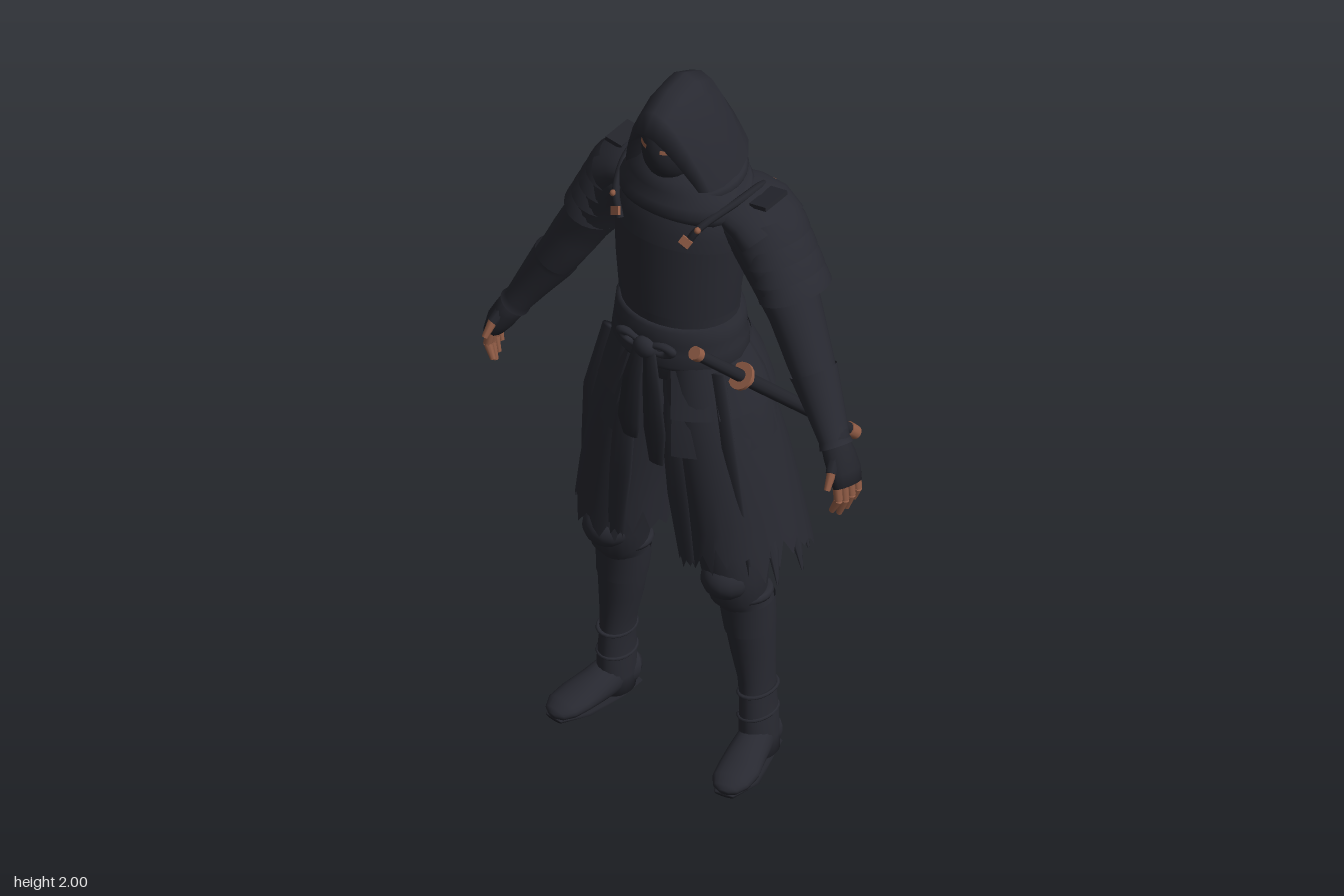
import * as THREE from 'three';

const V = (x, y, z) => new THREE.Vector3(x, y, z);
const cloth = new THREE.MeshStandardMaterial({ color: 0x282931, side: THREE.DoubleSide });
const darkCloth = new THREE.MeshStandardMaterial({ color: 0x23242b, side: THREE.DoubleSide });
const skin = new THREE.MeshStandardMaterial({ color: 0x8f5b45, side: THREE.DoubleSide });

const noise = (j) => { const v = Math.sin(j * 12.9898 + 4.1) * 43758.5453; return v - Math.floor(v); };

// Skin over elliptical cross-sections [x, y, z, halfWidth, halfDepth]; may be a partial arc or ragged at its end
function loft(rows, { n = 24, t0 = 0, t1 = Math.PI * 2, ref = V(0, 0, 1), cap = true, rag = null } = {}) {
  const full = t1 - t0 > 6.28, cols = full ? n : n + 1, pos = [], idx = [];
  const c = rows.map((r) => V(r[0], r[1], r[2]));
  rows.forEach((r, i) => {
    const t = c[Math.min(i + 1, c.length - 1)].clone().sub(c[Math.max(i - 1, 0)]).normalize();
    const u = t.clone().cross(ref).normalize(), v = u.clone().cross(t);
    for (let j = 0; j < cols; j++) {
      const th = t0 + ((t1 - t0) * j) / n;
      const p = c[i].clone().addScaledVector(u, r[3] * Math.cos(th)).addScaledVector(v, r[4] * Math.sin(th));
      if (rag && i === rows.length - 1) p.addScaledVector(t, rag(j, th));
      pos.push(p.x, p.y, p.z);
    }
  });
  for (let i = 0; i < rows.length - 1; i++) for (let j = 0; j < n; j++) {
    const k = full ? (j + 1) % n : j + 1, a = i * cols;
    idx.push(a + j, a + cols + j, a + k, a + k, a + cols + j, a + cols + k);
  }
  if (cap && full) {
    const s = pos.length / 3, l = (rows.length - 1) * n;
    pos.push(...c[0].toArray(), ...c[c.length - 1].toArray());
    for (let j = 0; j < n; j++) idx.push(s, j, (j + 1) % n, s + 1, l + ((j + 1) % n), l + j);
  }
  return finish(pos, idx);
}

function finish(pos, idx) {
  const g = new THREE.BufferGeometry();
  g.setAttribute('position', new THREE.Float32BufferAttribute(pos, 3));
  g.setIndex(idx);
  g.computeVertexNormals();
  return g;
}

// Hood: arches running from the face opening to the back, each [zTop, yTop, zBottom, yBottom, halfWidth]
function hoodGeometry() {
  const arches = [[.165, 1.885, .115, 1.745, .088], [.222, 1.91, .145, 1.735, .112], [.18, 1.953, .12, 1.73, .13], [.12, 1.987, .08, 1.728, .14],
    [.05, 2, .02, 1.735, .143], [-.015, 1.968, -.035, 1.75, .13], [-.055, 1.895, -.07, 1.768, .105], [-.085, 1.8, -.09, 1.778, .065]];
  const half = [[1, 0], [.93, .14], [.79, .36], [.64, .58], [.44, .8], [.25, .94], [0, 1]];
  const prof = [...half.map(([x, h]) => [-x, h]), ...half.slice(0, -1).reverse()];
  const pos = [], idx = [], m = prof.length;
  for (const [zt, yt, zb, yb, w] of arches)
    for (const [x, h] of prof) pos.push(x * w, yb + (yt - yb) * h, zb + (zt - zb) * h);
  for (let i = 0; i < arches.length - 1; i++) for (let j = 0; j < m - 1; j++) {
    const a = i * m + j, b = a + m;
    idx.push(a, a + 1, b, a + 1, b + 1, b);
  }
  return finish(pos, idx);
}

export function createModel() {
  const root = new THREE.Group();
  const add = (name, geo, mat = cloth, p = [0, 0, 0], r = [0, 0, 0], sc = [1, 1, 1]) => {
    const m = new THREE.Mesh(geo, mat);
    m.name = name;
    m.position.set(...p); m.rotation.set(...r); m.scale.set(...sc);
    root.add(m);
    return m;
  };
  const rod = (name, a, b, r0, r1, mat, sides = 12) => {
    const d = b.clone().sub(a);
    const m = add(name, new THREE.CylinderGeometry(r1, r0, d.length(), sides), mat, a.clone().add(b).multiplyScalar(.5).toArray());
    m.quaternion.setFromUnitVectors(V(0, 1, 0), d.normalize());
  };

  // Head, mask and hood
  add('hood', hoodGeometry());
  add('maskedHead', new THREE.SphereGeometry(1, 24, 16), darkCloth, [0, 1.815, .08], [0, 0, 0], [.08, .105, .108]);
  for (const s of [1, -1])
    add('eyeSkin', new THREE.SphereGeometry(1, 8, 3, Math.PI / 2 - s * .48 - .22, .44, 1.27, .1), skin, [0, 1.815, .08], [0, 0, 0], [.083, .108, .111]);
  add('neck', loft([[0, 1.62, .04, .1, .09], [0, 1.79, .05, .085, .09]]), darkCloth);

  // Wrapped cowl
  add('cowl', loft([[0, 1.61, .05, .172, .14], [0, 1.64, .042, .184, .154], [0, 1.672, .04, .178, .15], [0, 1.69, .036, .162, .142],
    [0, 1.715, .034, .15, .146], [0, 1.745, .034, .126, .134], [0, 1.77, .034, .1, .11], [0, 1.772, .034, .08, .09]], { n: 32 }));
  [[1.675, .15, .115, .22], [1.715, .13, .118, .12]].forEach(([y, rx, rz, tilt]) =>
    add('cowlFold', new THREE.TorusGeometry(1, .19, 10, 32), cloth, [0, y, .038], [Math.PI / 2 + tilt, 0, 0], [rx, rz, .12]));

  // Torso and sash
  add('torso', loft([[0, 1.16, .065, .165, .13], [0, 1.3, .07, .155, .13], [0, 1.4, .07, .163, .132], [0, 1.5, .062, .176, .14],
    [0, 1.58, .05, .185, .143], [0, 1.64, .04, .18, .135], [0, 1.69, .035, .13, .11]], { n: 32 }));
  add('chestWrap', loft([[0, 1.35, .07, .162, .136], [0, 1.45, .067, .174, .14], [0, 1.55, .056, .184, .145]],
    { n: 24, t0: -.2, t1: Math.PI + .2 }));
  add('sash', loft([[0, 1.2, .068, .172, .142], [0, 1.215, .068, .183, .15], [0, 1.25, .068, .178, .147], [0, 1.265, .068, .175, .143],
    [0, 1.28, .068, .174, .147], [0, 1.315, .068, .17, .143], [0, 1.325, .068, .156, .132]], { n: 32 }));
  add('sashKnot', new THREE.SphereGeometry(1, 14, 10), cloth, [0, 1.255, .218], [0, 0, 0], [.033, .03, .022]);
  for (const s of [1, -1]) {
    add('sashLoop', new THREE.TorusGeometry(.024, .014, 8, 16), cloth, [s * .045, 1.26, .21], [.2, 0, s * .25], [1.3, .6, .8]);
    // Hanging sash ends
    add('sashEnd', loft([[s * .015, 1.25, .218, .018, .01], [s * .03, 1.15, .23, .028, .008], [s * .04, 1.02, .23, .034, .008],
      [s * .04, s > 0 ? .92 : .97, .224, .022, .006]], { n: 10 }), darkCloth);
  }

  // Hanging hip plates, upper over lower: front, side and back on each half
  const leftPlates = [[.72, 1.2], [-.3, .64], [-1.47, -.36]];
  const plates = [...leftPlates, ...leftPlates.map(([a, b]) => [Math.PI - b, Math.PI - a])];
  for (const [t0, t1] of plates) {
    // The loft runs downward, so the arc is turned to match
    const arc = { n: 12, t0: Math.PI - t1, t1: Math.PI - t0 };
    add('lowerHipPlate', loft([[0, 1.13, .05, .205, .165], [0, 1.05, .048, .232, .186], [0, .97, .046, .248, .197]], arc));
    add('upperHipPlate', loft([[0, 1.22, .06, .18, .15], [0, 1.15, .05, .212, .174], [0, 1.08, .048, .236, .192]], arc));
  }
  // Long tattered strips in front
  for (const [x, w, y1] of [[.075, .034, .68], [.145, .038, .74], [.205, .03, .66]]) for (const s of [1, -1])
    add('tatteredStrip', loft([[s * x * .8, 1.2, .19 - x * .25, w * .8, .012], [s * x, 1, .228 - x * .35, w, .01],
      [s * (x + .015), .82, .23 - x * .42, w, .008], [s * (x + .03), y1, .23 - x * .5, w * .7, .004]], { n: 12, rag: (j) => noise(j + x * 90) * .08 }));

  for (const s of [1, -1]) {
    const side = s > 0 ? 'left' : 'right';
    const S = (rows) => rows.map(([x, ...r]) => [s * x, ...r]);

    // Wide ragged trousers and the leg under them
    add(side + 'Trouser', loft(S([[.075, 1.24, .065, .09, .125], [.09, 1.12, .06, .11, .145], [.118, .98, .05, .123, .158], [.14, .86, .038, .125, .168],
      [.157, .75, .03, .131, .172], [.166, .68, .024, .137, .178]]),
      { n: 44, cap: false, rag: (j, th) => (j % 2 ? 0 : .03) + noise(j * s + 7) * .1 + (Math.sin(th) < -.3 ? .045 : -.02) - Math.max(0, Math.sin(th)) * .02 }));
    // Loose torn ends at the outer side and the back, growing out of the cloth
    for (const [x, z, y0, y1] of [[.28, .07, .76, .58], [.275, -.02, .76, .56], [.21, -.115, .74, .53], [.14, -.135, .74, .5], [.08, -.115, .72, .54]])
      add(side + 'TornEnd', loft(S([[x - .012, y0, z * .92, .006, .012], [x + .012, (y0 + y1) / 2, z * 1.08, .01, .02], [x + .03, y1, z * 1.2, .002, .003]]), { n: 6 }));
    add(side + 'Leg', loft(S([[.115, .95, .05, .1, .11], [.15, .75, .06, .1, .11], [.172, .64, .075, .092, .1], [.182, .57, .085, .078, .09], [.182, .52, .075, .074, .078],
      [.186, .49, .06, .062, .066], [.192, .46, .05, .066, .068], [.196, .4, .045, .063, .066], [.203, .32, .042, .055, .06], [.212, .24, .04, .043, .055],
      [.216, .18, .04, .04, .056], [.218, .13, .04, .042, .06], [.22, .06, .04, .045, .06], [.222, .01, .04, .045, .058]])));
    add(side + 'KneePad', new THREE.SphereGeometry(1, 16, 12), cloth, [s * .182, .575, .115], [0, 0, 0], [.068, .06, .075]);
    add(side + 'KneeWrap', new THREE.TorusGeometry(.064, .014, 8, 24), cloth, [s * .184, .505, .063], [Math.PI / 2 - .15, 0, 0], [1, 1.05, 1]);
    add(side + 'GreaveTop', loft(S([[.19, .475, .05, .07, .072], [.193, .43, .047, .068, .07], [.197, .385, .046, .064, .067]]), { cap: false }));
    for (const y of [.2, .13])
      add(side + 'AnkleWrap', new THREE.TorusGeometry(.042, .005, 6, 20), cloth, [s * .217, y, .04], [Math.PI / 2, s * .1, 0], [1, 1.38, 1]);
    // Shoe
    add(side + 'Foot', loft(S([[.212, .04, -.02, .028, .034], [.214, .048, -.005, .04, .047], [.222, .055, .05, .044, .055], [.235, .043, .11, .05, .042],
      [.25, .032, .165, .055, .031], [.258, .026, .21, .05, .025], [.262, .02, .236, .034, .017], [.264, .017, .246, .014, .008]]), { n: 18, ref: V(0, 1, 0) }));
    add(side + 'Sole', loft(S([[.212, .006, -.02, .032, .006], [.222, .006, .05, .044, .006], [.25, .006, .165, .056, .006], [.262, .006, .242, .028, .006]]),
      { n: 12, ref: V(0, 1, 0) }), darkCloth);

    // Sleeve, bracer and glove
    add(side + 'Arm', loft(S([[.14, 1.63, .02, .07, .09], [.2, 1.59, .01, .085, .095], [.27, 1.48, .015, .078, .085], [.32, 1.395, .025, .065, .073], [.35, 1.34, .035, .062, .066],
      [.38, 1.285, .045, .057, .062], [.42, 1.22, .06, .049, .053], [.46, 1.155, .075, .04, .043], [.495, 1.1, .087, .034, .037]])));
    add(side + 'Bracer', loft(S([[.395, 1.262, .052, .06, .064], [.405, 1.245, .055, .058, .06], [.45, 1.17, .072, .046, .05], [.485, 1.11, .086, .037, .042], [.495, 1.095, .09, .041, .046]]),
      { cap: false }));
    add(side + 'Glove', loft(S([[.485, 1.115, .088, .034, .037], [.508, 1.075, .094, .036, .046], [.528, 1.04, .1, .034, .05], [.541, 1.008, .106, .024, .048]]), { n: 16 }), darkCloth);
    // Fingers fan from the outer back of the hand towards the inner front
    for (let f = 0; f < 4; f++) {
      const z = .076 + f * .021, x = .545 - f * .004, len = [.06, .08, .088, .072][f];
      const a = V(s * x, 1.025, z), b = V(s * (x + .007), 1.015 - len * .5, z + .003), c = V(s * (x - .003 - f * .003), 1.012 - len, z + .006);
      rod(side + 'Finger', a, b, .012, .0115, skin, 8);
      rod(side + 'Fingertip', b, c, .0115, .0075, skin, 8);
    }
    rod(side + 'ThumbBase', V(s * .51, 1.085, .115), V(s * .522, 1.055, .148), .018, .014, darkCloth, 8);
    rod(side + 'Thumb', V(s * .521, 1.06, .143), V(s * .527, 1.02, .172), .0125, .008, skin, 8);

    // Overlapping shoulder lames
    add(side + 'ShoulderCap', loft(S([[.09, 1.66, .012, .035, .09], [.14, 1.648, .006, .05, .106], [.19, 1.628, 0, .062, .112], [.23, 1.59, 0, .072, .11]]), { cap: false }));
    for (let k = 0; k < 4; k++) {
      const x = .215 + k * .022, y = 1.625 - k * .045;
      add(side + 'ShoulderLame', loft(S([[x, y, -.004, .066, .092], [x + .01, y - .025, -.002, .078, .102], [x + .02, y - .055, 0, .083, .107]]), { cap: false }));
    }
    add(side + 'ShoulderTab', new THREE.BoxGeometry(.05, .012, .09), darkCloth, [s * .222, 1.683, .005], [0, 0, s * .15]);

    // Shoulder strap with buckles front and back
    const strap = new THREE.CatmullRomCurve3([V(s * .1, 1.59, .186), V(s * .128, 1.645, .165), V(s * .17, 1.685, .06), V(s * .172, 1.68, -.04), V(s * .14, 1.62, -.1)]);
    add(side + 'Strap', new THREE.TubeGeometry(strap, 24, .01, 8), darkCloth);
    add(side + 'FrontBuckle', new THREE.BoxGeometry(.03, .022, .008), skin, [s * .108, 1.612, .194], [-.4, s * .35, s * -.4]);
    add(side + 'BuckleStud', new THREE.SphereGeometry(.009, 8, 6), skin, [s * .13, 1.645, .174]);
    add(side + 'BackBuckle', new THREE.BoxGeometry(.04, .006, .008), skin, [s * .152, 1.66, -.092], [.6, 0, 0]);
  }

  // Broad plate across the upper back
  add('backPlate', loft([[0, 1.5, .045, .17, .14], [0, 1.6, .03, .18, .142], [0, 1.68, .03, .16, .138]], { n: 20, t0: Math.PI + .4, t1: Math.PI * 2 - .4 }));

  // Sheathed sword on the left hip
  const top = V(.173, 1.33, .245), end = V(.3, .845, -.25), at = (t) => top.clone().lerp(end, t);
  rod('swordPommel', at(0), at(.03), .018, .018, skin);
  rod('swordGrip', at(.025), at(.29), .015, .016, darkCloth);
  rod('swordGuard', at(.285), at(.3), .036, .036, skin, 16);
  rod('swordCollar', at(.3), at(.33), .021, .021, skin);
  rod('scabbard', at(.32), at(.965), .019, .017, darkCloth);
  rod('scabbardTip', at(.95), at(1), .02, .018, skin);
  return root;
}
